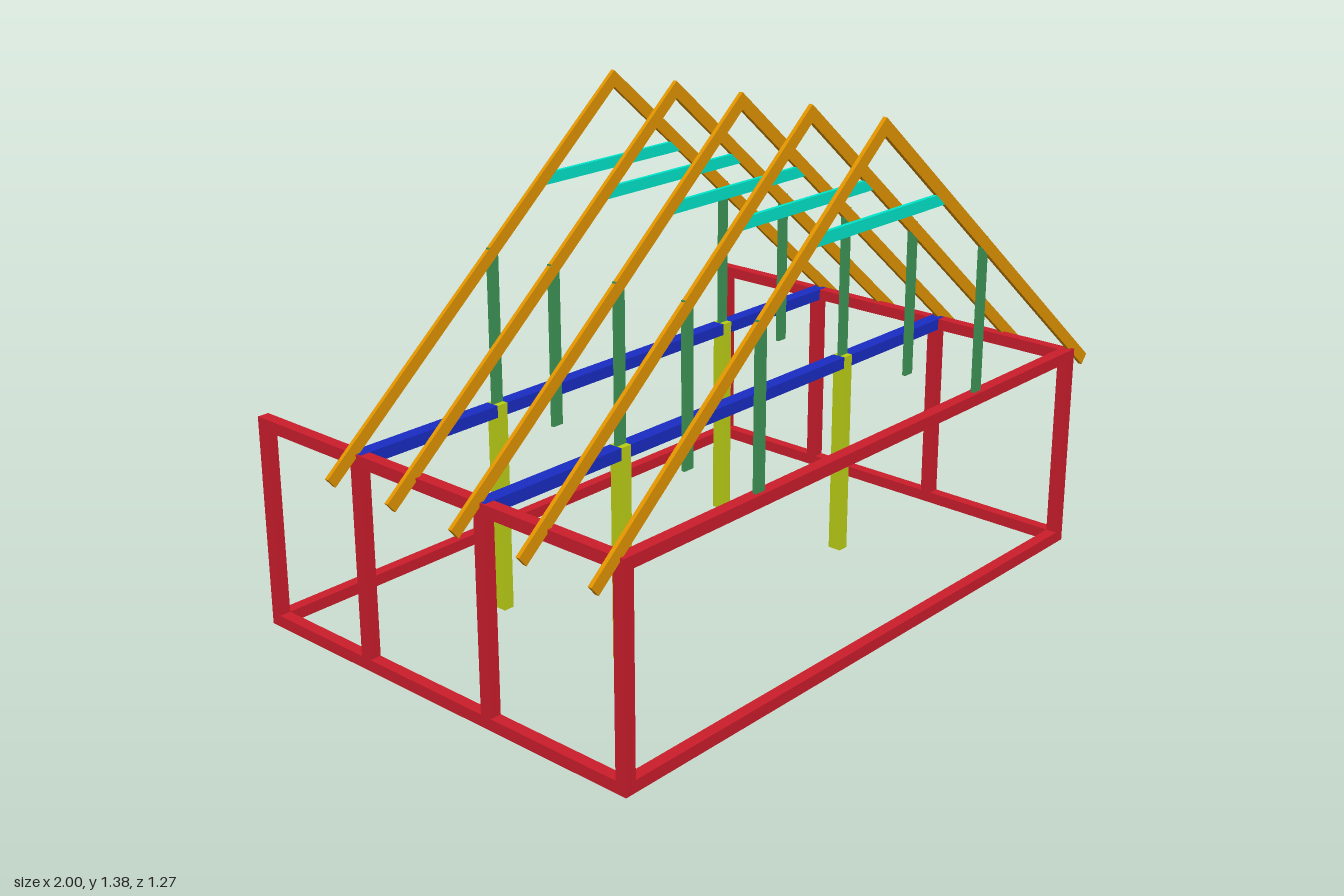
import * as THREE from 'three';

const mat = (name, color) => Object.assign(new THREE.MeshStandardMaterial({ color }), { name });

export function createModel() {
  const red = mat('frame red', 0xcc1d2b);
  const orange = mat('rafter orange', 0xe09400);
  const teal = mat('tie teal', 0x00e6cb);
  const green = mat('strut green', 0x3f9657);
  const lime = mat('post lime', 0xbccf16);
  const blue = mat('beam blue', 0x1a2cc4);

  const model = new THREE.Group();
  model.name = 'timberFrame';

  // box given by its min and max corners
  const bar = (name, material, a, b, parent = model) => {
    const s = b.map((v, i) => v - a[i]);
    const mesh = new THREE.Mesh(new THREE.BoxGeometry(...s), material);
    mesh.position.set(...a.map((v, i) => v + s[i] / 2));
    mesh.name = name;
    parent.add(mesh);
  };
  // thin plank cut from a polygon in the xy plane, centred on z = 0
  const plank = (name, material, points, parent) => {
    const shape = new THREE.Shape(points.map(p => new THREE.Vector2(...p)));
    const geo = new THREE.ExtrudeGeometry(shape, { depth: 0.011, bevelEnabled: false });
    geo.translate(0, 0, -0.0055);
    const mesh = new THREE.Mesh(geo, material);
    mesh.name = name;
    parent.add(mesh);
  };

  const X = 0.913, Z = 0.634, T = 0.032, TOP = 0.58;
  const beamZ = [0.182, -0.254];

  // wall frame: sills all round, top plates on the sides and front only
  bar('frontSill', red, [-X, 0, Z - T], [X, T, Z]);
  bar('backSill', red, [-X, 0, -Z], [X, T, -Z + T]);
  bar('frontTopPlate', red, [-X, TOP - T, Z - T], [X, TOP, Z]);
  for (const s of [-1, 1]) {
    const x0 = s > 0 ? X - T : -X, x1 = x0 + T;
    bar('sideSill', red, [x0, 0, -Z + T], [x1, T, Z - T]);
    bar('sideTopPlate', red, [x0, TOP - T, -Z], [x1, TOP, Z - T]);
    bar('frontCornerPost', red, [x0, T, Z - T], [x1, TOP - T, Z]);
    bar('backCornerPost', red, [x0, T, -Z], [x1, TOP - T, -Z + T]);
    for (const z of beamZ)
      bar('sidePost', red, [x0, T, z - 0.017], [x1, TOP - T, z + 0.017]);
  }

  // cross beams and the inner posts that carry them
  for (const z of beamZ) {
    bar('crossBeam', blue, [-X + 0.004, TOP - T, z - 0.019], [X - 0.004, TOP + 0.0006, z + 0.019]);
    for (const x of [-0.445, 0.445])
      bar('innerPost', lime, [x - 0.016, 0, z - 0.018], [x + 0.016, TOP + 0.0012, z + 0.021]);
  }

  // roof trusses: mitred rafters, collar tie and two struts
  const RIDGE = 1.38, SLOPE = 0.839, D = 0.034;
  const angle = Math.atan(SLOPE), drop = D / Math.cos(angle);
  for (const z of [0.618, 0.4, 0.182, -0.036, -0.254]) {
    const truss = new THREE.Group();
    truss.name = 'roofTruss';
    truss.position.z = z;
    for (const s of [-1, 1]) {
      plank('rafter', orange, [
        [0, RIDGE], [s, RIDGE - SLOPE],
        [s * (1 - D * Math.sin(angle)), RIDGE - SLOPE - D * Math.cos(angle)],
        [0, RIDGE - drop],
      ], truss);
      bar('strut', green, [s * 0.445 - 0.016, 0.575, -0.005], [s * 0.445 + 0.016, 0.997, 0.005], truss);
    }
    const under = y => (RIDGE - drop - y) / SLOPE;
    const lo = 1.121, hi = 1.151;
    plank('collarTie', teal, [[-under(lo), lo], [under(lo), lo], [under(hi), hi], [-under(hi), hi]], truss);
    model.add(truss);
  }
  return model;
}
